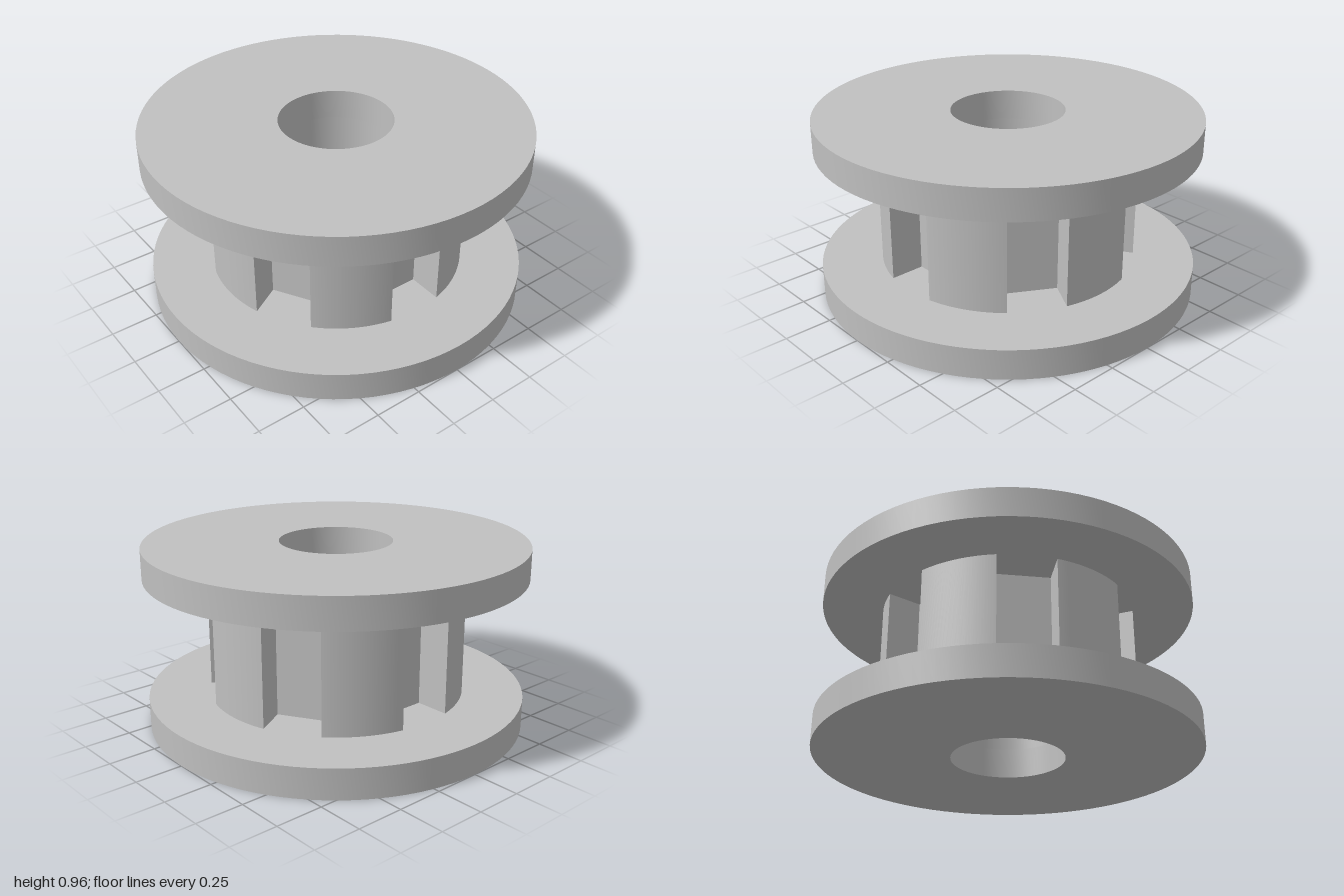
import * as THREE from 'three';
import { toCreasedNormals } from 'three/addons/utils/BufferGeometryUtils.js';

const BORE = 0.296, FLANGE_R = 1, FLANGE_H = 0.16, HUB_H = 0.645;
const TOOTH_R = 0.68, TEETH = 6, SLOT_HALF = 0.15, SLOT_FLOOR = 0.48;

// Extrude a bored outline upwards from y = 0, smooth round walls and sharp edges
function boredPlate(shape, height) {
  const hole = new THREE.Path();
  hole.absarc(0, 0, BORE, 0, Math.PI * 2, true);
  shape.holes.push(hole);
  const geo = new THREE.ExtrudeGeometry(shape, { depth: height, bevelEnabled: false, curveSegments: 48 });
  geo.rotateX(-Math.PI / 2);
  return toCreasedNormals(geo, 0.5);
}

// Round outline with parallel-sided, flat-bottomed slots between the teeth
function toothedOutline() {
  const shape = new THREE.Shape();
  const pitch = (Math.PI * 2) / TEETH;
  const slotAngle = Math.asin(SLOT_HALF / TOOTH_R);
  for (let i = 0; i < TEETH; i++) {
    const a = i * pitch, c = Math.cos(a), s = Math.sin(a);
    for (const side of [-SLOT_HALF, SLOT_HALF]) {
      const x = c * SLOT_FLOOR - s * side, y = s * SLOT_FLOOR + c * side;
      if (i === 0 && side < 0) shape.moveTo(x, y);
      else shape.lineTo(x, y);
    }
    shape.absarc(0, 0, TOOTH_R, a + slotAngle, a + pitch - slotAngle, false);
  }
  shape.closePath();
  return shape;
}

export function createModel() {
  const group = new THREE.Group();
  group.name = 'toothedPulley';
  const grey = new THREE.MeshStandardMaterial({ color: 0xc0c0c0 });
  grey.name = 'light grey';

  const add = (name, geo, y) => {
    const mesh = new THREE.Mesh(geo, grey);
    mesh.name = name;
    mesh.position.y = y;
    group.add(mesh);
  };

  // Two matching flanges with the toothed hub between them
  const disc = new THREE.Shape().absarc(0, 0, FLANGE_R, 0, Math.PI * 2, false);
  const flange = boredPlate(disc, FLANGE_H);
  add('lowerFlange', flange, 0);
  add('toothedHub', boredPlate(toothedOutline(), HUB_H), FLANGE_H);
  add('upperFlange', flange, FLANGE_H + HUB_H);
  return group;
}
